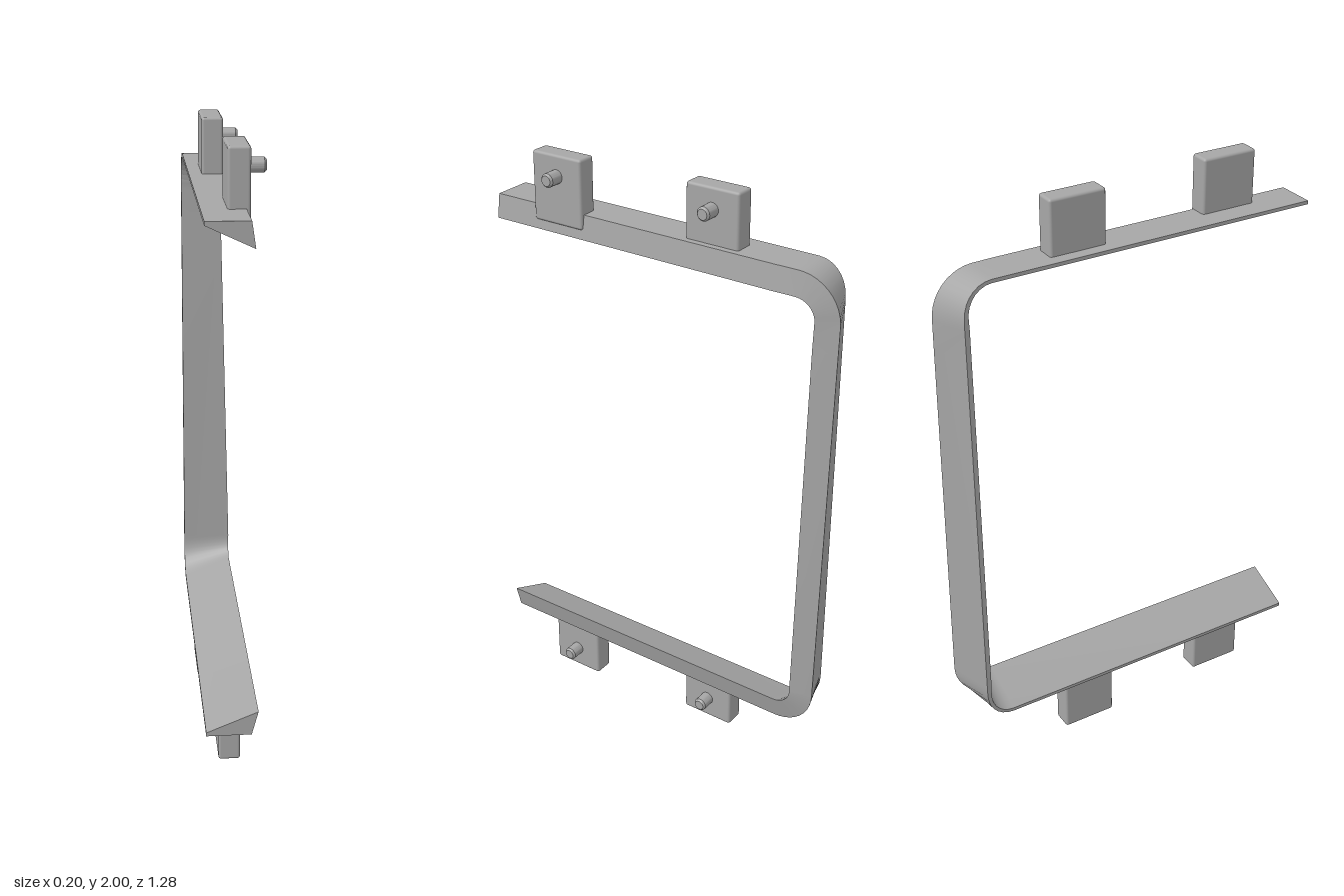
import * as THREE from 'three';
import { toCreasedNormals } from 'three/addons/utils/BufferGeometryUtils.js';
import { RoundedBoxGeometry } from 'three/addons/geometries/RoundedBoxGeometry.js';

const lerp = THREE.MathUtils.lerp;

// Wedge-section strip swept round a C: top arm, corner, upright, corner, bottom arm
function frameGeometry() {
  const R = 0.145, top = 1.82, bottom = 0.19, back = -0.637, thick = 0.08, tipX = -0.1;
  const sections = [];
  // y, z: point on the outer path; angle: 0 on top, PI/2 at the back, PI underneath
  function station(y, z, angle, outerX, innerX) {
    const k = Math.sin(angle) ** 2; // 0 on the arms, 1 on the upright
    const at = (x, d) => [x, y - d * Math.cos(angle), z + d * Math.sin(angle)];
    sections.push([
      at(tipX, lerp(0, 0.05, k)),
      at(outerX, 0),
      at(innerX, lerp(thick, 0.076, k)),
      at(tipX, lerp(0.012, 0.066, k)),
    ]);
  }
  function corner(cy, a0, x0, x1) {
    const steps = 10;
    for (let i = 0; i <= steps; i++) {
      const t = i / steps, a = a0 + t * Math.PI / 2;
      station(cy + R * Math.cos(a), back + R - R * Math.sin(a), a,
        lerp(x0[0], x1[0], t), lerp(x0[1], x1[1], t));
    }
  }
  station(top, 0.64, 0, 0.033, 0.045);
  station(top, -0.42, 0, 0.033, 0.045);
  corner(top - R, 0, [0.031, 0.043], [0.015, 0.035]);
  station(1.58, back, Math.PI / 2, 0.018, 0.04);
  corner(bottom + R, Math.PI / 2, [0.05, 0.069], [0.045, 0.065]);
  station(bottom, 0.64, Math.PI, 0.043, 0.064);

  const index = [];
  const n = sections.length;
  for (let i = 0; i < n - 1; i++) {
    for (let j = 0; j < 4; j++) {
      const a = i * 4 + j, b = i * 4 + (j + 1) % 4;
      index.push(a, b, b + 4, a, b + 4, a + 4);
    }
  }
  const e = (n - 1) * 4;
  index.push(0, 3, 2, 0, 2, 1, e, e + 1, e + 2, e, e + 2, e + 3);
  const geometry = new THREE.BufferGeometry();
  geometry.setAttribute('position', new THREE.Float32BufferAttribute(sections.flat(2), 3));
  geometry.setIndex(index);
  return toCreasedNormals(geometry, 0.6);
}

export function createModel() {
  const model = new THREE.Group();
  model.name = 'bracketFrame';
  const grey = new THREE.MeshStandardMaterial({ color: 0xa6a6a6 });
  grey.name = 'grey';

  const frame = new THREE.Mesh(frameGeometry(), grey);
  frame.name = 'frame';
  model.add(frame);

  // Mounting tabs, each with a locating pin on its +x face
  function addTab(name, x0, x1, y0, y1, z, pinY) {
    const group = new THREE.Group();
    group.name = name;
    const plate = new THREE.Mesh(
      new RoundedBoxGeometry(x1 - x0, y1 - y0, 0.192, 2, 0.009), grey);
    plate.name = 'tabPlate';
    plate.position.set((x0 + x1) / 2, (y0 + y1) / 2, z);
    // Pin with a bevelled tip, turned about its axis
    const profile = [[0, -0.02], [0.023, -0.02], [0.023, 0.046], [0.017, 0.053], [0, 0.053]];
    const pinGeometry = toCreasedNormals(new THREE.LatheGeometry(
      profile.map(([r, h]) => new THREE.Vector2(r, h)), 24), 0.5);
    const pin = new THREE.Mesh(pinGeometry, grey);
    pin.name = 'pin';
    pin.rotation.z = -Math.PI / 2;
    pin.position.set(x1, pinY, z);
    group.add(plate, pin);
    model.add(group);
  }
  addTab('topFrontTab', -0.022, 0.046, 1.77, 2, 0.384, 1.93);
  addTab('topBackTab', -0.058, 0.011, 1.79, 2, -0.181, 1.93);
  addTab('bottomFrontTab', -0.049, 0.022, 0, 0.215, 0.384, 0.077);
  addTab('bottomBackTab', -0.082, -0.012, 0, 0.2, -0.181, 0.077);

  return model;
}
